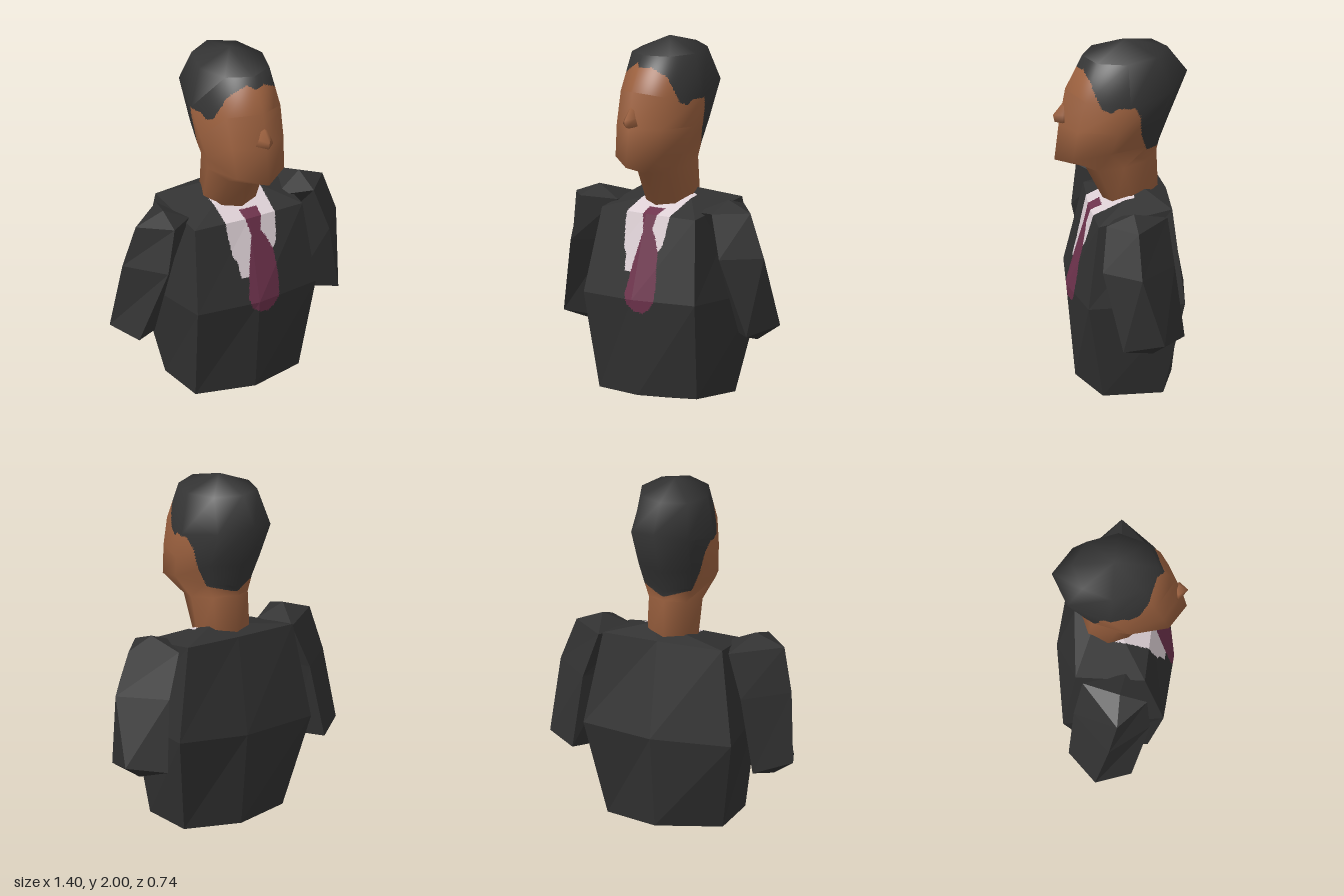
import * as THREE from 'three';

const mat = (name, color) => Object.assign(new THREE.MeshStandardMaterial({ color }), { name });

// Skin closed rings (ordered front, +x, back, -x) from bottom to top, capped by two apex points
function loft(bottom, rings, top, smooth) {
  const n = rings[0].length, idx = [];
  const pts = [...rings.flat(), bottom, top];
  const b = pts.length - 2, t = pts.length - 1, last = (rings.length - 1) * n;
  for (let j = 0; j < n; j++) {
    const k = (j + 1) % n;
    idx.push(b, k, j, t, last + j, last + k);
    for (let i = 0; i < rings.length - 1; i++) {
      const p = i * n, q = p + n;
      idx.push(p + j, p + k, q + k, p + j, q + k, q + j);
    }
  }
  let geo = new THREE.BufferGeometry();
  geo.setAttribute('position', new THREE.Float32BufferAttribute(pts.flat(), 3));
  geo.setIndex(idx);
  if (smooth) geo.computeVertexNormals();
  geo = geo.toNonIndexed();
  if (!smooth) geo.computeVertexNormals();
  return geo;
}

// Split triangles that cross a colour border into small cells, grouped by rule(point) -> material index
function paint(geo, n, count, rule) {
  const P = geo.attributes.position, N = geo.attributes.normal;
  const buckets = Array.from({ length: count }, () => ({ p: [], n: [] }));
  for (let f = 0; f < P.count; f += 3) {
    const get = A => [0, 1, 2].map(i => new THREE.Vector3().fromBufferAttribute(A, f + i));
    const p = get(P), m = get(N);
    const at = (v, [i, j]) => v[0].clone().multiplyScalar((n - i - j) / n)
      .addScaledVector(v[1], i / n).addScaledVector(v[2], j / n);
    const cells = [];
    for (let i = 0; i < n; i++) for (let j = 0; j < n - i; j++) {
      cells.push([[i, j], [i + 1, j], [i, j + 1]]);
      if (i + j < n - 1) cells.push([[i + 1, j], [i + 1, j + 1], [i, j + 1]]);
    }
    const ids = cells.map(c => {
      const mid = new THREE.Vector3();
      c.forEach(u => mid.addScaledVector(at(p, u), 1 / 3));
      return rule(mid);
    });
    const uniform = ids.every(id => id === ids[0]);
    const list = uniform ? [[[0, 0], [n, 0], [0, n]]] : cells;
    list.forEach((c, k) => c.forEach(u => {
      buckets[ids[k]].p.push(...at(p, u).toArray());
      buckets[ids[k]].n.push(...at(m, u).normalize().toArray());
    }));
  }
  const out = new THREE.BufferGeometry();
  out.setAttribute('position', new THREE.Float32BufferAttribute(buckets.flatMap(b => b.p), 3));
  out.setAttribute('normal', new THREE.Float32BufferAttribute(buckets.flatMap(b => b.n), 3));
  let start = 0;
  buckets.forEach((b, i) => {
    out.addGroup(start, b.p.length / 3, i);
    start += b.p.length / 3;
  });
  return out;
}

// Is (x, y) inside the polygon?
function inside(poly, x, y) {
  let hit = false;
  poly.forEach(([ax, ay], i) => {
    const [bx, by] = poly[(i + 1) % poly.length];
    if ((ay > y) !== (by > y) && x < ax + (bx - ax) * (y - ay) / (by - ay)) hit = !hit;
  });
  return hit;
}

// Height on a polyline of [position, height] pairs sorted by position
function heightAt(line, s) {
  if (s <= line[0][0]) return line[0][1];
  for (let i = 1; i < line.length; i++) {
    const [a, ya] = line[i - 1], [b, yb] = line[i];
    if (s <= b) return ya + (yb - ya) * (s - a) / (b - a);
  }
  return line[line.length - 1][1];
}

export function createModel() {
  const group = new THREE.Group();
  const suit = mat('suit charcoal', 0x313131), hair = mat('hair black', 0x353535);
  const skin = mat('skin brown', 0x9c613f), shirt = mat('shirt white', 0xdccfd4);
  const tie = mat('tie burgundy', 0x6d324c);
  const add = (name, geo, material) => {
    const mesh = new THREE.Mesh(geo, material);
    mesh.name = name;
    group.add(mesh);
  };

  // Jacket body: front centre, front left, back left, back centre, back right, front right
  const torso = loft([0.02, 0, -0.02], [
    [[0.03, 0.05, 0.245], [0.36, 0.05, 0.13], [0.345, 0.05, -0.2], [0.03, 0.05, -0.28], [-0.315, 0.05, -0.145], [-0.305, 0.05, 0.18]],
    [[0.03, 0.58, 0.295], [0.42, 0.58, 0.215], [0.44, 0.6, -0.31], [0.03, 0.58, -0.345], [-0.42, 0.58, -0.27], [-0.34, 0.58, 0.27]],
    [[0.03, 1.04, 0.175], [0.37, 1.04, 0.155], [0.35, 1.12, -0.25], [0.03, 1.12, -0.25], [-0.34, 1.11, -0.21], [-0.3, 1.04, 0.165]],
  ], [0.1, 1.17, -0.1]);
  const shirtShape = [[-0.12, 1.2], [-0.11, 0.97], [-0.09, 0.84], [-0.07, 0.82], [-0.06, 0.73], [-0.01, 0.73],
    [0.03, 0.85], [0.1, 0.93], [0.15, 0.84], [0.18, 0.89], [0.19, 0.99], [0.2, 1.2]];
  const tieShape = [[0, 1.07], [0.11, 1.07], [0.09, 0.96], [0.12, 0.92], [0.155, 0.84], [0.17, 0.68], [0.165, 0.58],
    [0.13, 0.53], [0.09, 0.51], [0.04, 0.52], [-0.01, 0.55], [-0.03, 0.61], [0, 0.8], [0.03, 0.95]];
  add('jacketShirtAndTie', paint(torso, 50, 3, ({ x, y, z }) => {
    if (z < -0.06) return 0;
    if (inside(tieShape, x, y)) return 2;
    return inside(shirtShape, x, y) ? 1 : 0;
  }), [suit, shirt, tie]);

  // Four-sided upper arms, cut off above the elbow
  add('leftArm', loft([0.58, 0.375, -0.12], [
    [[0.65, 0.415, 0.05], [0.7, 0.46, -0.17], [0.51, 0.44, -0.3], [0.46, 0.4, -0.1]],
    [[0.54, 0.84, 0.15], [0.69, 0.84, -0.05], [0.47, 0.84, -0.25], [0.36, 0.84, -0.07]],
    [[0.46, 1.08, 0.12], [0.6, 1.08, -0.04], [0.39, 1.09, -0.22], [0.27, 1.06, 0.04]],
  ], [0.45, 1.14, -0.03]), suit);
  add('rightArm', loft([-0.57, 0.37, -0.04], [
    [[-0.62, 0.43, 0.12], [-0.46, 0.4, 0.0], [-0.53, 0.43, -0.23], [-0.7, 0.46, -0.07]],
    [[-0.49, 0.84, 0.21], [-0.35, 0.84, 0.03], [-0.45, 0.84, -0.21], [-0.66, 0.84, 0]],
    [[-0.44, 1.09, 0.19], [-0.28, 1.07, 0.06], [-0.36, 1.08, -0.17], [-0.6, 1.08, 0.04]],
  ], [-0.43, 1.14, 0.04]), suit);

  // Head and neck: tilted eight-sided rings [front y, front z, back y, back z, half width, lift of sides], turned slightly
  const headRing = ([fy, fz, by, bz, w, lift]) => Array.from({ length: 8 }, (_, i) => {
    const a = i / 8 * Math.PI * 2, s = Math.sin(a), t = (Math.cos(a) + 1) / 2;
    const z = bz + (fz - bz) * t;
    return [0.025 + 0.07 * z + w * s, by + (fy - by) * t + lift * s * s, z];
  });
  const head = loft([0.02, 1.0, -0.06], [
    [1.05, 0.08, 1.08, -0.21, 0.15, 0],
    [1.265, 0.19, 1.34, -0.2, 0.155, 0],
    [1.32, 0.362, 1.4, -0.215, 0.205, 0.05],
    [1.53, 0.338, 1.53, -0.265, 0.225, 0],
    [1.73, 0.303, 1.79, -0.37, 0.237, -0.07],
    [1.92, 0.21, 1.94, -0.26, 0.195, -0.01],
  ].map(headRing), [0.02, 2, -0.03], true);
  const hairline = [[-0.2, 1.37], [-0.13, 1.4], [-0.1, 1.5], [-0.09, 1.62], [-0.06, 1.68], [0.03, 1.68],
    [0.07, 1.65], [0.12, 1.67], [0.16, 1.76], [0.18, 1.82], [0.21, 1.85], [0.24, 1.87]];
  const fringe = [[-0.12, 0], [-0.07, 0.01], [0, 0.03], [0.03, -0.01], [0.06, -0.01], [0.1, 0.01], [0.14, 0]];
  add('headAndHair', paint(head, 24, 2, ({ x, y, z }) =>
    y > heightAt(hairline, z) + (z > 0.18 ? heightAt(fringe, x) : 0) ? 1 : 0), [skin, hair]);

  // Nose
  add('nose', loft([0.05, 1.53, 0.32], [
    [[0.05, 1.54, 0.36], [0.1, 1.55, 0.32], [0.05, 1.54, 0.28], [-0.01, 1.555, 0.32]],
    [[0.05, 1.58, 0.37], [0.085, 1.59, 0.32], [0.05, 1.58, 0.28], [0.01, 1.59, 0.32]],
  ], [0.045, 1.67, 0.3], true), skin);

  return group;
}
